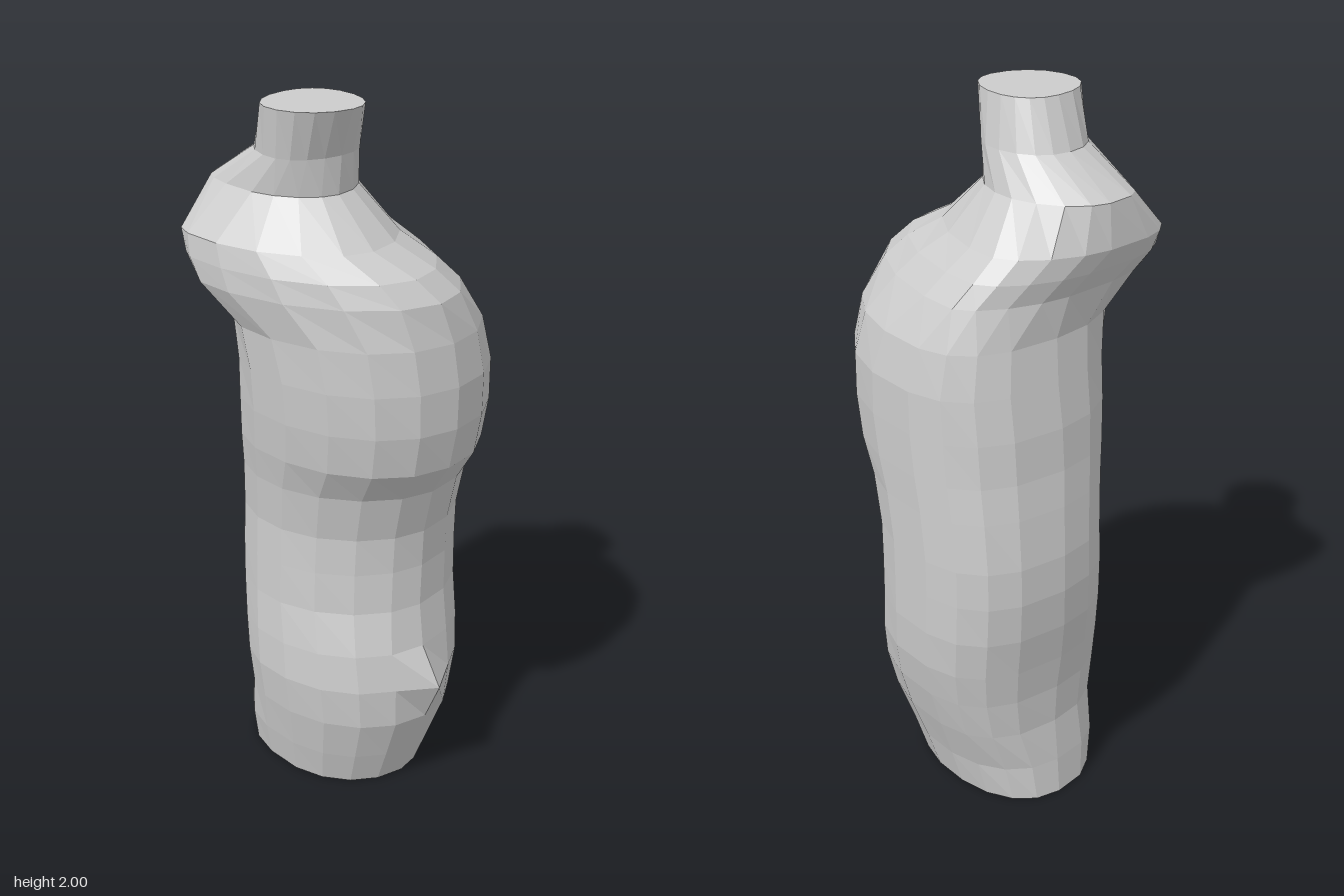
import * as THREE from 'three';

const SIDES = 18;

// Cross-sections: y, xMin, xMax, zMin, zMax, and the pivot (x, z) its four quarter curves share
const SECTIONS = [
  [0.00, -0.355, 0.185, -0.22, 0.20, -0.08, -0.03],
  [0.11, -0.345, 0.23, -0.25, 0.225, -0.07, -0.03],
  [0.24, -0.33, 0.28, -0.295, 0.25, -0.06, -0.03],
  [0.36, -0.335, 0.285, -0.33, 0.265, -0.06, -0.03],
  [0.47, -0.35, 0.265, -0.352, 0.26, -0.07, -0.03],
  [0.59, -0.37, 0.24, -0.36, 0.25, -0.08, -0.04],
  [0.71, -0.38, 0.235, -0.36, 0.245, -0.08, -0.05],
  [0.82, -0.377, 0.24, -0.36, 0.24, -0.08, -0.05],
  [0.96, -0.36, 0.28, -0.36, 0.255, -0.06, -0.04],
  [1.06, -0.345, 0.35, -0.362, 0.275, -0.04, -0.03],
  [1.18, -0.335, 0.375, -0.362, 0.29, -0.02, -0.03],
  [1.30, -0.315, 0.378, -0.36, 0.30, -0.02, -0.03],
  [1.42, -0.295, 0.365, -0.335, 0.31, -0.05, -0.02],
  [1.53, -0.305, 0.345, -0.275, 0.36, -0.16, 0.01],
  [1.59, -0.335, 0.295, -0.225, 0.362, -0.18, 0.05],
  [1.65, -0.36, 0.19, -0.17, 0.355, -0.19, 0.10],
  [1.77, -0.35, 0.06, -0.07, 0.25, -0.14, 0.10],
  [1.87, -0.21, 0.06, -0.04, 0.235, -0.05, 0.09],
  [2.00, -0.15, 0.115, -0.01, 0.25, -0.03, 0.10],
];

const rounded = (v, power) => Math.sign(v) * Math.abs(v) ** power;

// Low powers square off a quarter of the section, high ones flatten it
function quarterPower(y, c, s) {
  const shoulder = y > 1.5 && y < 1.8;
  if (c > 0) {
    if (s <= 0) return 0.97;
    return shoulder || (y > 0.5 && y < 1) ? 1.08 : 0.97;
  }
  if (s > 0) {
    if (shoulder) return y < 1.55 ? 0.75 : 0.6;
    return y < 0.2 ? 0.82 : 0.96;
  }
  if (shoulder) return 1.15;
  return y < 0.2 || y > 1.8 ? 0.9 : 0.73;
}

function sectionPoint([y, xMin, xMax, zMin, zMax, px, pz], j) {
  const a = (j / SIDES) * Math.PI * 2;
  const c = Math.cos(a), s = Math.sin(a);
  const p = quarterPower(y, c, s);
  const x = px + rounded(c, p) * (c > 0 ? xMax - px : px - xMin);
  const z = pz + rounded(s, p) * (s > 0 ? zMax - pz : pz - zMin);
  // Small pointed bump on the left thigh
  return [y === 0.36 && j === 0 ? 0.335 : x, y, z];
}

function loftGeometry() {
  const positions = [], index = [];
  for (const section of SECTIONS) {
    for (let j = 0; j < SIDES; j++) positions.push(...sectionPoint(section, j));
  }
  const last = SECTIONS.length - 1;
  const bottom = positions.length / 3, top = bottom + 1;
  for (const i of [0, last]) {
    const [y, , , , , px, pz] = SECTIONS[i];
    positions.push(px, y, pz);
  }
  for (let j = 0; j < SIDES; j++) {
    const k = (j + 1) % SIDES;
    for (let i = 0; i < last; i++) {
      const a = i * SIDES + j, b = i * SIDES + k;
      index.push(a, a + SIDES, b + SIDES, a, b + SIDES, b);
    }
    // Flat cuts at the legs and neck
    index.push(bottom, j, k, top, last * SIDES + k, last * SIDES + j);
  }
  const geometry = new THREE.BufferGeometry();
  geometry.setAttribute('position', new THREE.Float32BufferAttribute(positions, 3));
  geometry.setIndex(index);
  geometry.computeVertexNormals();
  return geometry;
}

export function createModel() {
  const group = new THREE.Group();
  group.name = 'torsoSculpture';
  const material = new THREE.MeshStandardMaterial({ color: 0xcccccc, flatShading: true });
  const torso = new THREE.Mesh(loftGeometry(), material);
  torso.name = 'torso';
  group.add(torso);
  return group;
}
